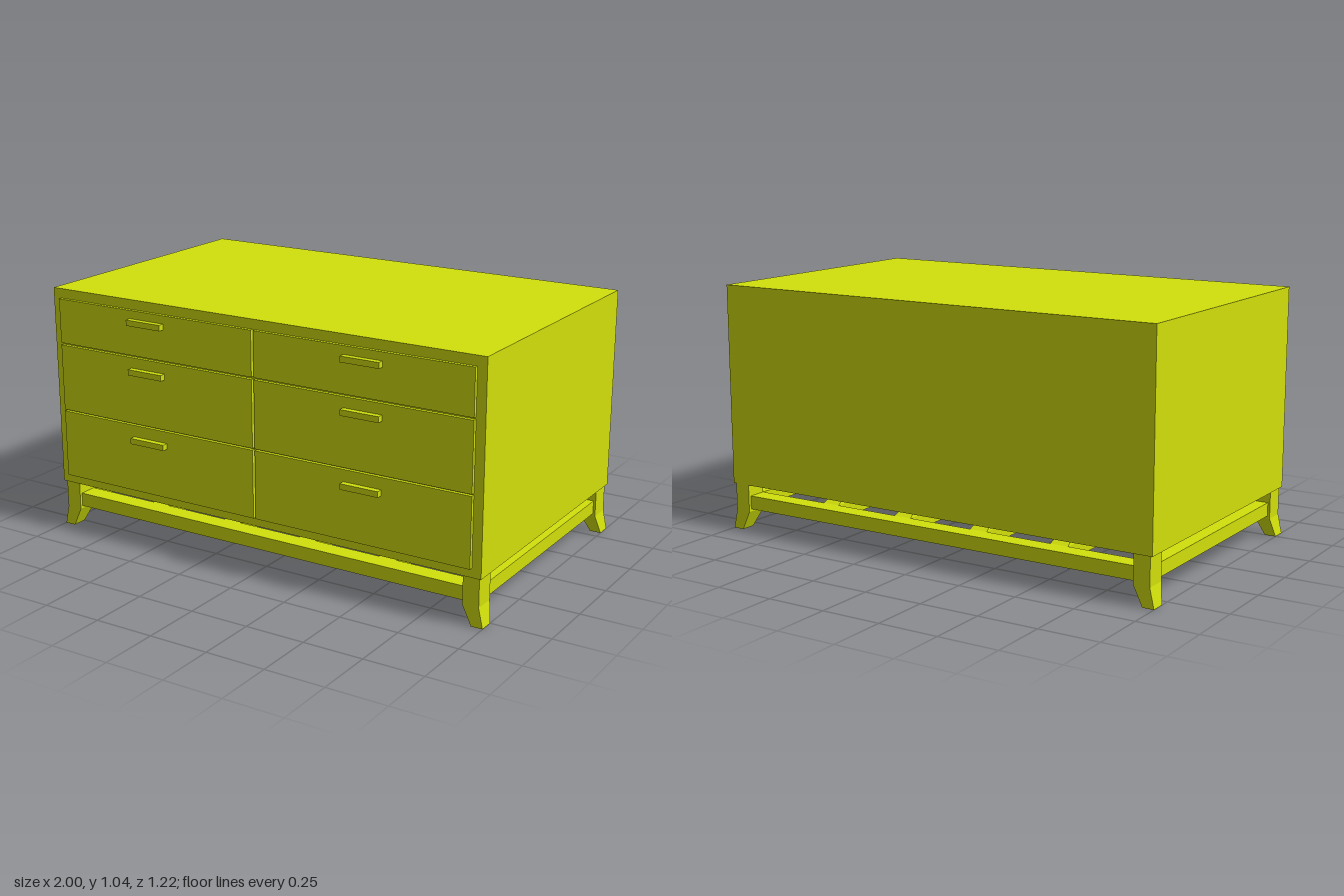
import * as THREE from 'three';

const material = new THREE.MeshStandardMaterial({ color: 0xd2e00c, flatShading: true });

// Box given by its minimum and maximum on each axis
function box(name, [x0, x1], [y0, y1], [z0, z1]) {
  const mesh = new THREE.Mesh(new THREE.BoxGeometry(x1 - x0, y1 - y0, z1 - z0), material);
  mesh.position.set((x0 + x1) / 2, (y0 + y1) / 2, (z0 + z1) / 2);
  mesh.name = name;
  return mesh;
}

// Leg: flares outwards in x below the knee and tapers on its two inner sides
function leg(name, sx, sz) {
  const geometry = new THREE.BoxGeometry(1, 1, 1, 1, 2, 1);
  const p = geometry.attributes.position;
  for (let i = 0; i < p.count; i++) {
    const level = Math.round((p.getY(i) + 0.5) * 2); // 0 foot, 1 knee, 2 top
    const outerX = p.getX(i) * sx > 0;
    const outerZ = p.getZ(i) * sz > 0;
    const x = outerX ? [1.0, 0.982, 0.982][level] : [0.952, 0.914, 0.914][level];
    const z = outerZ ? 0.584 : [0.521, 0.494, 0.494][level];
    p.setXYZ(i, sx * x, [0, 0.08, 0.198][level], sz * z);
  }
  geometry.computeVertexNormals();
  const mesh = new THREE.Mesh(geometry, material);
  mesh.name = name;
  return mesh;
}

// Cross slat: straight at rail height, narrowing and shortening up to the cabinet
function slat(name, x) {
  const geometry = new THREE.BoxGeometry(1, 1, 1, 1, 2, 1);
  const p = geometry.attributes.position;
  for (let i = 0; i < p.count; i++) {
    const level = Math.round((p.getY(i) + 0.5) * 2);
    const halfWidth = [0.039, 0.039, 0.025][level];
    const halfLength = [0.494, 0.494, 0.407][level];
    p.setXYZ(i, Math.sign(p.getX(i)) * halfWidth, [0.091, 0.148, 0.198][level],
      Math.sign(p.getZ(i)) * halfLength);
  }
  geometry.computeVertexNormals();
  const mesh = new THREE.Mesh(geometry, material);
  mesh.position.x = x;
  mesh.name = name;
  return mesh;
}

export function createModel() {
  const model = new THREE.Group();
  model.name = 'dresser';

  // Cabinet
  model.add(box('cabinet', [-0.992, 0.992], [0.198, 1.04], [-0.61, 0.57]));

  // Drawer fronts with bar handles, two columns of three rows
  const columns = [
    { name: 'right', front: [-0.953, 0.0], handle: [-0.586, -0.42] },
    { name: 'left', front: [0.01, 0.953], handle: [0.412, 0.578] },
  ];
  const rows = [
    { name: 'Bottom', y: [0.235, 0.519], handle: [0.446, 0.47] },
    { name: 'Middle', y: [0.526, 0.805], handle: [0.737, 0.761] },
    { name: 'Top', y: [0.814, 1.0], handle: [0.942, 0.966] },
  ];
  for (const c of columns) {
    for (const r of rows) {
      const drawer = new THREE.Group();
      drawer.name = `${c.name}${r.name}Drawer`;
      drawer.add(box('drawerFront', c.front, r.y, [0.56, 0.585]));
      drawer.add(box('handle', c.handle, r.handle, [0.58, 0.61]));
      model.add(drawer);
    }
  }

  // Base frame: legs, rails and slats
  const base = new THREE.Group();
  base.name = 'base';
  base.position.z = -0.022;
  for (const sx of [-1, 1]) {
    for (const sz of [-1, 1]) {
      base.add(leg(`${sz > 0 ? 'front' : 'back'}${sx > 0 ? 'Left' : 'Right'}Leg`, sx, sz));
    }
  }
  const railY = [0.091, 0.148];
  base.add(box('frontRail', [-0.92, 0.92], railY, [0.494, 0.572]));
  base.add(box('backRail', [-0.92, 0.92], railY, [-0.572, -0.494]));
  base.add(box('leftRail', [0.914, 0.972], railY, [-0.5, 0.5]));
  base.add(box('rightRail', [-0.972, -0.914], railY, [-0.5, 0.5]));
  [-0.55, -0.185, 0.18, 0.545].forEach((x, i) => base.add(slat(`slat${i + 1}`, x)));
  model.add(base);

  return model;
}
